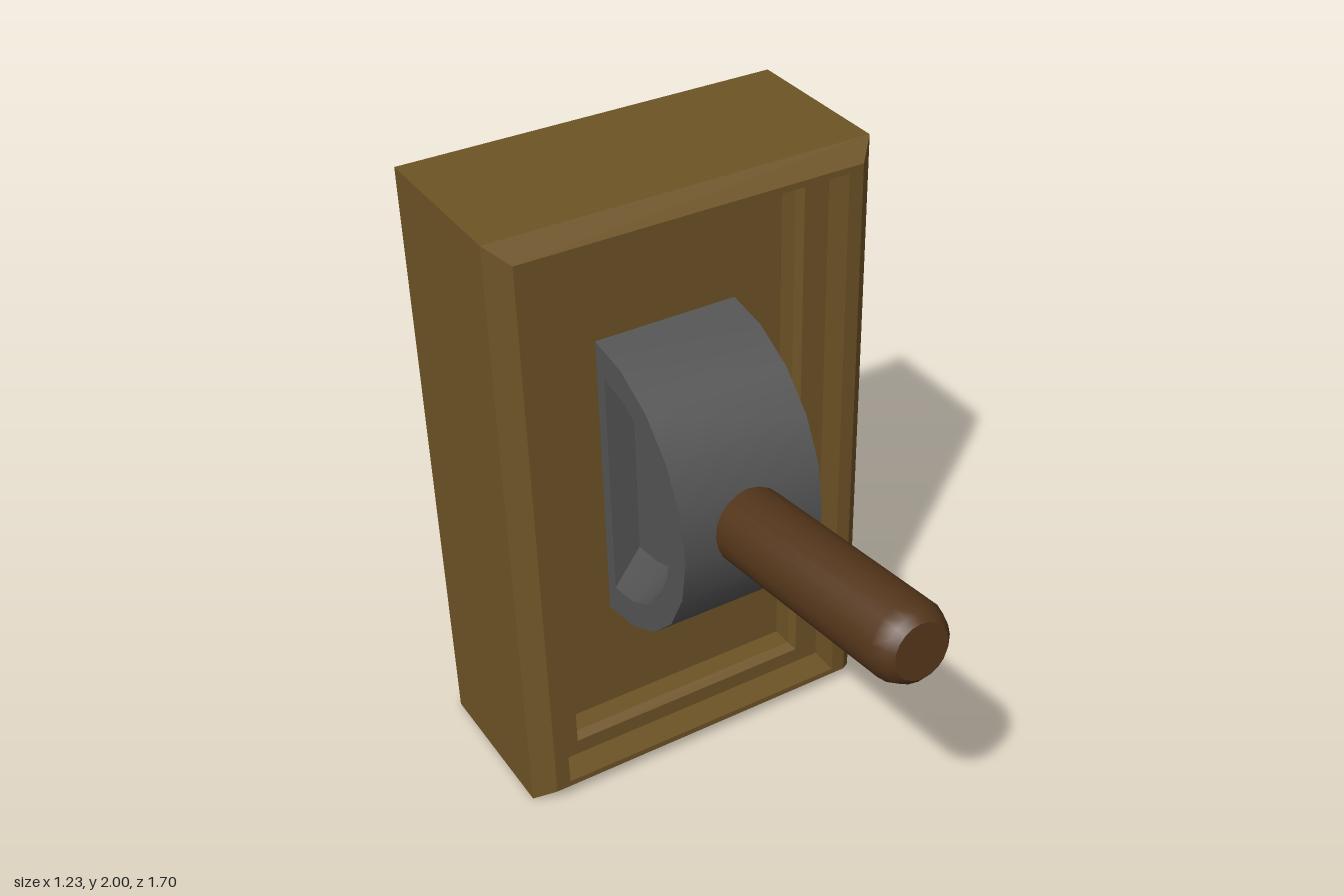
import * as THREE from 'three';
import { toCreasedNormals } from 'three/addons/utils/BufferGeometryUtils.js';

// Skins a series of convex rings (counter-clockwise seen from the travel direction) and caps both ends
function loft(rings, crease) {
  const pos = [];
  const tri = (a, b, c) => pos.push(...a, ...b, ...c);
  const n = rings[0].length;
  for (let k = 0; k < rings.length - 1; k++) {
    for (let i = 0; i < n; i++) {
      const j = (i + 1) % n;
      const p = rings[k], q = rings[k + 1];
      tri(p[i], p[j], q[j]);
      tri(p[i], q[j], q[i]);
    }
  }
  const first = rings[0], last = rings[rings.length - 1];
  for (let i = 1; i < n - 1; i++) {
    tri(first[0], first[i + 1], first[i]);
    tri(last[0], last[i], last[i + 1]);
  }
  const g = new THREE.BufferGeometry();
  g.setAttribute('position', new THREE.Float32BufferAttribute(pos, 3));
  g.computeVertexNormals();
  return toCreasedNormals(g, crease);
}

// Upright rectangle of half width w, from y0 to y1, at depth z
const rect = (w, y0, y1, z) => [[-w, y0, z], [w, y0, z], [w, y1, z], [-w, y1, z]];

// Half disc facing +z at a given x: half height ry, depth rz, flat back at z
function halfDisc(x, ry, rz, z) {
  const pts = [];
  for (let i = 0; i <= 10; i++) {
    const a = (i / 10) * Math.PI;
    pts.push([x, 1.024 + ry * Math.cos(a), z + rz * Math.sin(a)]);
  }
  return pts;
}

export function createModel() {
  const group = new THREE.Group();
  const add = (name, geometry, color) => {
    const mesh = new THREE.Mesh(geometry, new THREE.MeshStandardMaterial({ color }));
    mesh.name = name;
    group.add(mesh);
    return mesh;
  };

  // Wall box: bevelled rim, ledge, then a sunken panel
  add('housing', loft([
    rect(0.615, 0, 2, -0.845),
    rect(0.615, 0, 2, -0.31),
    rect(0.555, 0.05, 1.95, -0.25),
    rect(0.507, 0.07, 1.93, -0.25),
    rect(0.507, 0.07, 1.93, -0.35),
    rect(0.423, 0.125, 1.88, -0.35),
    rect(0.41, 0.14, 1.865, -0.38),
    rect(0.41, 0.14, 1.865, -0.45),
  ], 0.2), 0x6e5426);

  // Half-round pivot with a tapered pocket in each side
  add('pivot', loft([
    halfDisc(-0.135, 0.26, 0.35, -0.405),
    halfDisc(-0.227, 0.385, 0.35, -0.405),
    halfDisc(-0.227, 0.492, 0.49, -0.455),
    halfDisc(0.245, 0.492, 0.49, -0.455),
    halfDisc(0.245, 0.385, 0.35, -0.405),
    halfDisc(0.153, 0.26, 0.35, -0.405),
  ], 0.5), 0x555555);

  // Round lever tilted slightly upward, with a softened tip
  const profile = [[0, 0], [0.122, 0], [0.122, 0.825], [0.105, 0.868], [0.085, 0.888], [0, 0.888]];
  const lever = add('lever', toCreasedNormals(
    new THREE.LatheGeometry(profile.map(([r, y]) => new THREE.Vector2(r, y)), 20), 0.5), 0x53351a);
  lever.position.set(0.002, 1.055, -0.04);
  lever.rotation.x = Math.PI / 2 - 0.136;

  return group;
}
